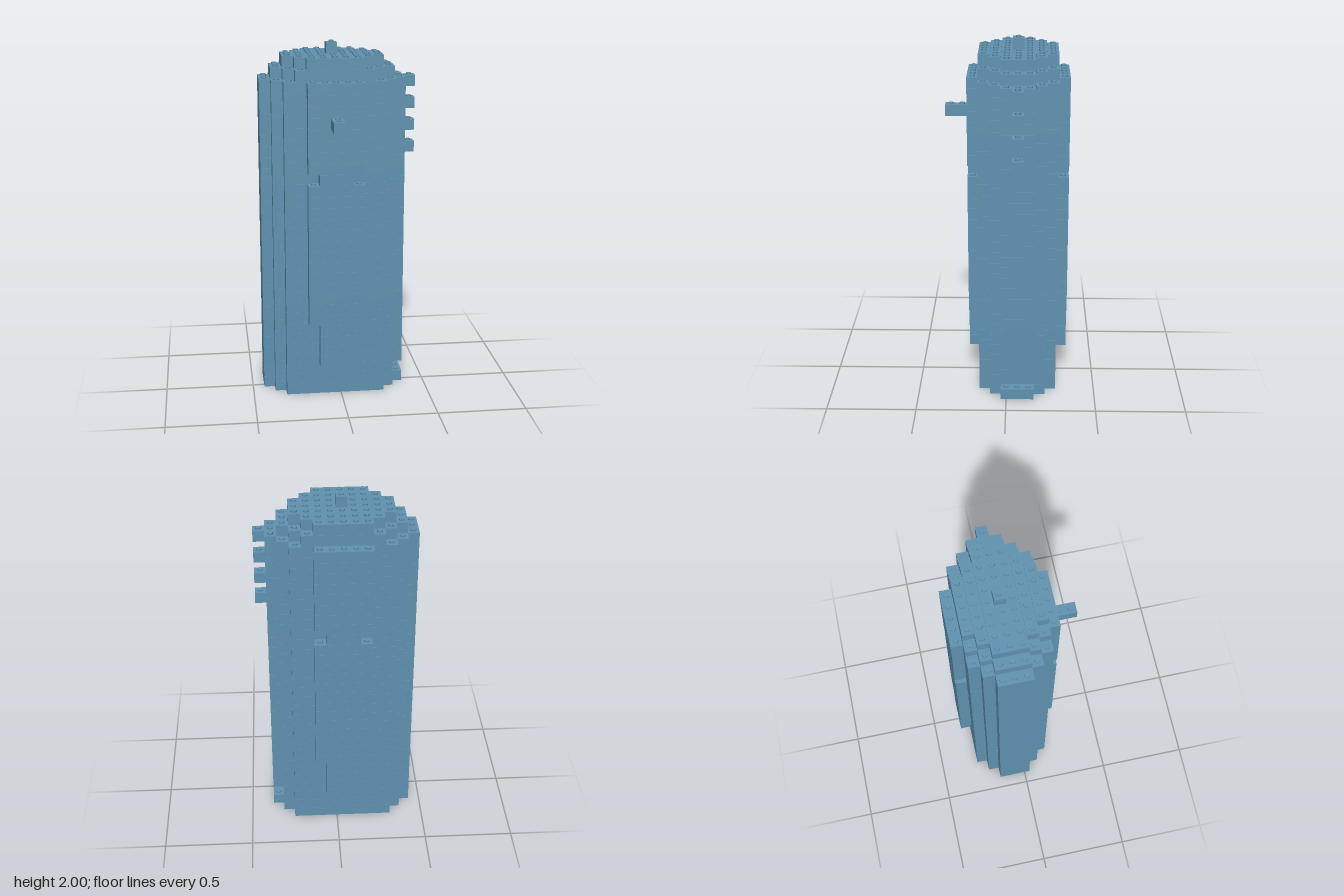
import * as THREE from 'three';
import { mergeGeometries } from 'three/addons/utils/BufferGeometryUtils.js';

// The model is laid out on a grid of cubic cells: 14 columns, 11 rows, 32 layers
const STUD_H = 0.008;
const P = (2 - STUD_H) / 32;
const GAP = 0.001;
const X0 = -7 * P;
const Z0 = -5.5 * P;

export function createModel() {
  const model = new THREE.Group();
  model.name = 'brickTower';
  const blue = new THREE.MeshStandardMaterial({ color: 0x6092b0 });
  blue.name = 'dusty blue';

  const parts = {};
  const filled = new Map();

  // One brick covering columns c0..c1 and rows r0..r1 of a layer
  function brick(part, layer, c0, c1, r0, r1 = r0) {
    const w = (c1 - c0 + 1) * P, d = (r1 - r0 + 1) * P;
    const g = new THREE.BoxGeometry(w - GAP / 2, P - GAP, d - GAP / 2);
    g.translate(X0 + c0 * P + w / 2, (layer + 0.5) * P - GAP / 2, Z0 + r0 * P + d / 2);
    (parts[part] ??= []).push(g);
    for (let c = c0; c <= c1; c++)
      for (let r = r0; r <= r1; r++) filled.set(`${c},${r},${layer}`, [c, r, layer]);
  }

  // A stepped slab: middle block plus mirrored rows that narrow towards front and back
  function slab(part, layer, inset, middleEnd, outer) {
    brick(part, layer, inset, middleEnd, 3, 5);
    outer.forEach(([c0, c1], i) => {
      brick(part, layer, c0, c1, 2 - i);
      brick(part, layer, c0, c1, 6 + i);
    });
  }

  // Main tower, with a slot in its left side one layer above the ground
  for (let y = 0; y < 29; y++) {
    slab('towerBody', y, 0, y === 1 ? 11 : 12, [[1, 11], [2, 10]]);
  }

  // Raised panels on the front and back, narrow at the foot and notched near the middle
  for (let y = 3; y < 29; y++) {
    const narrow = y < 7 || y === 20;
    for (const [part, row] of [['frontPanel', 8], ['backPanel', 0]]) {
      brick(part, y, narrow ? 5 : 4, narrow ? 7 : 8, row);
    }
  }

  // Stepped crown and the single brick on top
  slab('crown', 29, 1, 11, [[2, 10], [3, 9]]);
  slab('crown', 30, 2, 10, [[3, 9], [4, 8]]);
  brick('topKnob', 31, 6, 6, 4);

  // Bar sticking out of the front, and four small bricks down the left side
  brick('frontBar', 25, 6, 6, 9, 10);
  for (const y of [22, 24, 26, 28]) brick('sideButtons', y, 13, 13, 4);

  // Studs on every cell with nothing above it
  for (const [c, r, y] of filled.values()) {
    if (filled.has(`${c},${r},${y + 1}`)) continue;
    const g = new THREE.CylinderGeometry(0.0145, 0.0145, STUD_H + GAP, 16);
    g.translate(X0 + (c + 0.5) * P, (y + 1) * P + (STUD_H - GAP) / 2, Z0 + (r + 0.5) * P);
    (parts.studs ??= []).push(g);
  }

  for (const [name, list] of Object.entries(parts)) {
    const mesh = new THREE.Mesh(mergeGeometries(list), blue);
    mesh.name = name;
    model.add(mesh);
  }
  return model;
}
